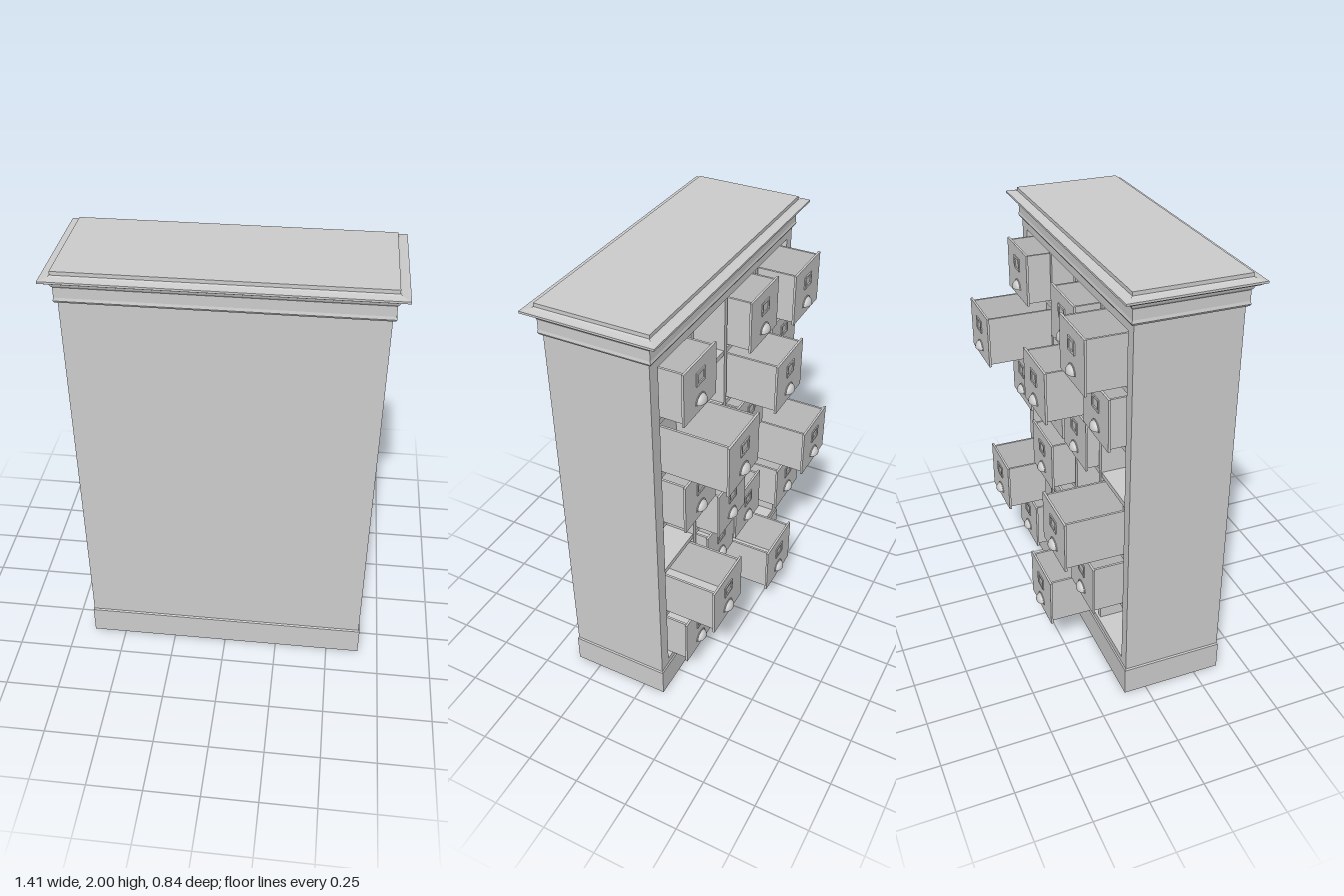
import * as THREE from 'three';

const material = new THREE.MeshStandardMaterial({ color: 0xcccccc });
const thin = new THREE.MeshStandardMaterial({ color: 0xcccccc, side: THREE.DoubleSide });

// Cabinet footprint and compartment grid
const HX = 0.65, ZC = 0.1325, HZ = 0.2325, BACK = ZC - HZ;
const COLS = 4, ROWS = 6, PX = 0.297, PY = 0.274, X0 = -0.45, Y0 = 0.31;
const colX = (c) => X0 + c * PX;
const rowY = (r) => Y0 + r * PY;
const openL = colX(-0.5), openR = colX(COLS - 0.5), openB = rowY(-0.5), openT = rowY(ROWS - 0.5);

function add(parent, name, geometry, mat = material) {
  const mesh = new THREE.Mesh(geometry, mat);
  mesh.name = name;
  parent.add(mesh);
  return mesh;
}

// Box given by its lower and upper bounds
function slab(parent, name, x0, x1, y0, y1, z0, z1) {
  const mesh = add(parent, name, new THREE.BoxGeometry(x1 - x0, y1 - y0, z1 - z0));
  mesh.position.set((x0 + x1) / 2, (y0 + y1) / 2, (z0 + z1) / 2);
  return mesh;
}

// Moulding: a profile of [outward offset, height] swept round the rectangular footprint
function moulding(profile) {
  const ring = ([d, y]) => [[1, 1], [1, -1], [-1, -1], [-1, 1]]
    .map(([sx, sz]) => [sx * (HX + d), y, ZC + sz * (HZ + d)]);
  const rings = profile.map(ring);
  const pos = [];
  const quad = (a, b, c, d) => pos.push(...a, ...b, ...c, ...a, ...c, ...d);
  for (let k = 0; k < rings.length - 1; k++) {
    const lo = rings[k], hi = rings[k + 1];
    for (let i = 0; i < 4; i++) {
      const j = (i + 1) % 4;
      quad(lo[i], lo[j], hi[j], hi[i]);
    }
  }
  quad(...rings[rings.length - 1]);
  quad(...rings[0].slice().reverse());
  const g = new THREE.BufferGeometry();
  g.setAttribute('position', new THREE.Float32BufferAttribute(pos, 3));
  g.computeVertexNormals();
  return g;
}

function rectangle(path, x0, x1, y0, y1) {
  path.moveTo(x0, y0);
  path.lineTo(x1, y0);
  path.lineTo(x1, y1);
  path.lineTo(x0, y1);
  path.closePath();
  return path;
}

// Flat rectangular frame with a rectangular opening
function frame(outer, inner, depth) {
  const shape = rectangle(new THREE.Shape(), ...outer);
  shape.holes.push(rectangle(new THREE.Path(), ...inner));
  return new THREE.ExtrudeGeometry(shape, { depth, bevelEnabled: false });
}

// Shared drawer hardware
const holderGeometry = frame([-0.036, 0.036, -0.03, 0.03], [-0.026, 0.026, -0.019, 0.02], 0.005);
const cupGeometry = new THREE.SphereGeometry(1, 20, 8, Math.PI, Math.PI, 0, Math.PI / 2).scale(0.036, 0.034, 0.024);
const plateShape = new THREE.Shape();
plateShape.absellipse(0, 0, 0.042, 0.039, 0, Math.PI, false);
const plateGeometry = new THREE.ExtrudeGeometry(plateShape, { depth: 0.003, bevelEnabled: false, curveSegments: 16 });

// Open-topped drawer; its face lies at z = 0 and looks towards -z
function makeDrawer() {
  const drawer = new THREE.Group();
  drawer.name = 'drawer';
  const w = 0.122, b = -0.114, t = 0.114, len = 0.38, k = 0.01;
  slab(drawer, 'drawerFront', -0.135, 0.135, -0.12, 0.12, 0, 0.01);
  slab(drawer, 'drawerBottom', -w, w, b, b + k, 0.01, len);
  slab(drawer, 'drawerEnd', -w + k, w - k, b + k, t, len - k, len);
  for (const s of [-1, 1]) {
    const side = s * (w - k / 2);
    slab(drawer, 'drawerSide', side - k / 2, side + k / 2, b + k, t, 0.01, len);
  }
  add(drawer, 'labelHolder', holderGeometry).position.set(0, 0.04, -0.005);
  add(drawer, 'pullPlate', plateGeometry).position.set(0, -0.077, -0.003);
  add(drawer, 'cupPull', cupGeometry, thin).position.set(0, -0.077, -0.002);
  return drawer;
}

// How far each drawer is pulled out, rows from the bottom, columns from -x; null is an empty bay
const PULLS = [
  [null, 0.23, null, 0.095],
  [0.135, 0.05, 0.05, 0.235],
  [0.262, null, 0.105, null],
  [null, 0.05, 0.05, 0.1],
  [0.07, 0.23, null, 0.295],
  [0.17, 0.1, null, 0.1],
];

export function createModel() {
  const model = new THREE.Group();
  model.name = 'drawerCabinet';
  const front = ZC + HZ;

  // Plinth and cornice
  add(model, 'plinth', moulding([[0.005, 0], [0.005, 0.136], [0, 0.143]]));
  add(model, 'cornice', moulding([
    [0, 1.86], [0.01, 1.863], [0.015, 1.872], [0.012, 1.885], [0.012, 1.93], [0.018, 1.938],
    [0.022, 1.95], [0.034, 1.953], [0.045, 1.96], [0.057, 1.966], [0.057, 1.975],
    [0.046, 1.976], [0.024, 1.98], [0.016, 1.984], [0.016, 2],
  ]));

  // Carcass
  slab(model, 'frontPanel', -HX, HX, 0.14, 1.87, front - 0.02, front);
  slab(model, 'sidePanel', -HX, openL, 0.14, 1.87, BACK + 0.02, front - 0.02);
  slab(model, 'sidePanel', openR, HX, 0.14, 1.87, BACK + 0.02, front - 0.02);
  slab(model, 'floorBoard', openL, openR, 0.14, openB, BACK + 0.02, front - 0.02);
  slab(model, 'topBoard', openL, openR, openT, 1.87, BACK + 0.02, front - 0.02);
  add(model, 'faceFrame', frame([-HX, HX, 0.14, 1.87], [openL, openR, openB, openT], 0.02)).position.z = BACK;

  // Shelves and dividers between the bays
  for (let r = 0; r < ROWS - 1; r++) {
    const y = rowY(r + 0.5);
    slab(model, 'shelf', openL, openR, y - 0.012, y + 0.012, BACK + 0.015, front - 0.02);
  }
  for (let c = 0; c < COLS - 1; c++) {
    const x = colX(c + 0.5);
    slab(model, 'divider', x - 0.012, x + 0.012, openB, openT, BACK + 0.012, front - 0.02);
  }

  // Drawers
  PULLS.forEach((row, r) => row.forEach((pull, c) => {
    if (pull === null) return;
    const drawer = makeDrawer();
    drawer.position.set(colX(c), rowY(r), BACK - pull);
    model.add(drawer);
  }));
  return model;
}
